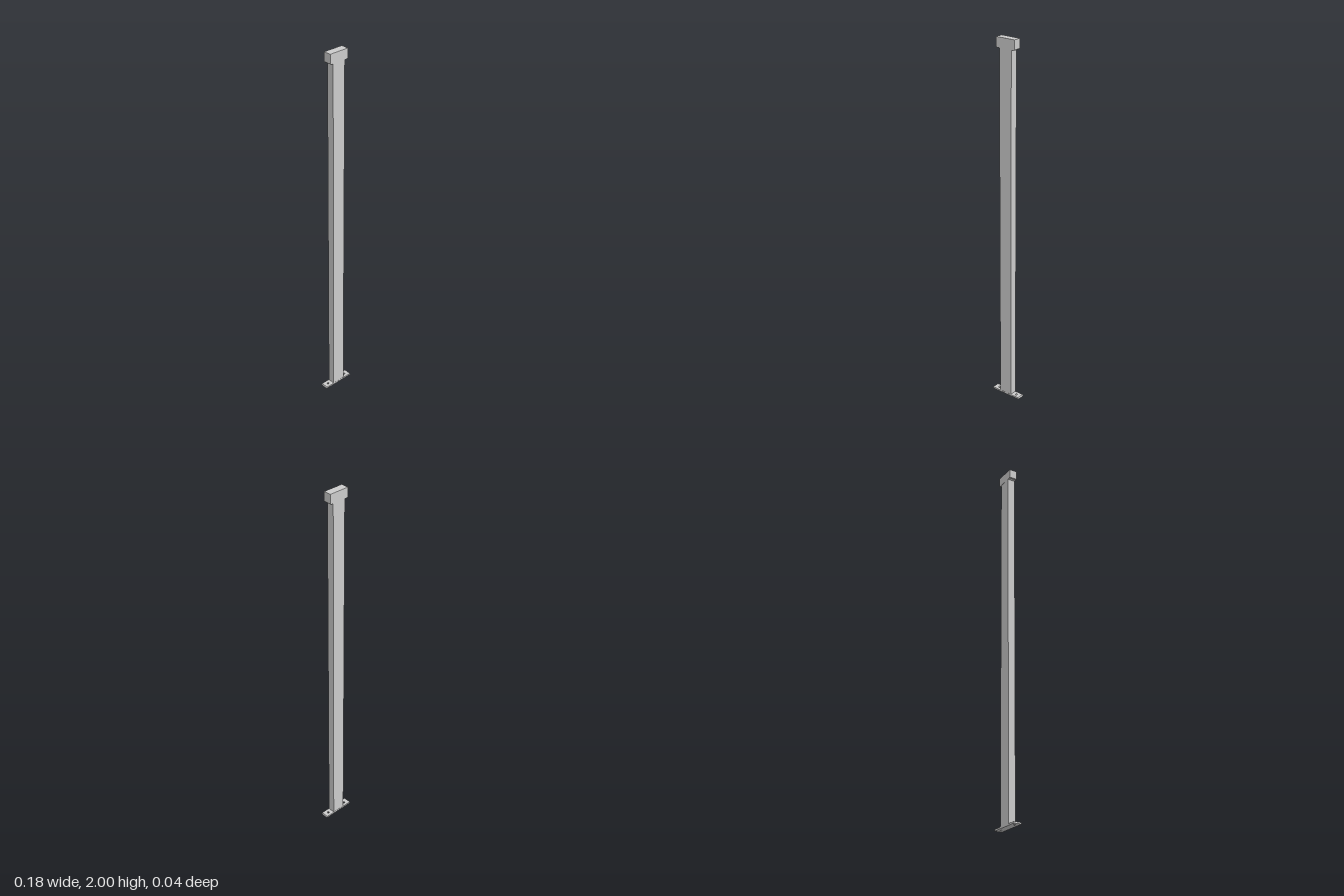
import * as THREE from 'three';

const material = new THREE.MeshStandardMaterial({ color: 0xcccccc, flatShading: true });
const DEPTH = 0.042;

function addMesh(group, name, geometry) {
  const mesh = new THREE.Mesh(geometry, material);
  mesh.name = name;
  group.add(mesh);
  return mesh;
}

function polygon(points) {
  return new THREE.Shape(points.map(([x, y]) => new THREE.Vector2(x, y)));
}

export function createModel() {
  const group = new THREE.Group();
  group.name = 'post';

  // Base plate with a bolt hole on each side and bevelled ends
  const half = 0.0915, bevel = 0.0035, thickness = 0.009;
  const z = DEPTH / 2;
  const plateShape = polygon([[-half, -z], [half, -z], [half, z], [-half, z]]);
  for (const side of [-1, 1]) {
    const hole = new THREE.Path();
    hole.absarc(side * 0.061, 0, 0.006, 0, Math.PI * 2, true);
    plateShape.holes.push(hole);
  }
  const plate = new THREE.ExtrudeGeometry(plateShape, { depth: thickness, bevelEnabled: false, curveSegments: 16 });
  plate.rotateX(-Math.PI / 2);
  const pos = plate.attributes.position;
  for (let i = 0; i < pos.count; i++) {
    const x = pos.getX(i);
    if (pos.getY(i) > thickness / 2 && Math.abs(x) > half - 0.001) pos.setX(i, Math.sign(x) * (half - bevel));
  }
  plate.computeVertexNormals();
  addMesh(group, 'basePlate', plate);

  // Rectangular upright
  const bottom = thickness, top = 1.947;
  const upright = addMesh(group, 'upright', new THREE.BoxGeometry(0.074, top - bottom, DEPTH - 0.002));
  upright.position.y = (top + bottom) / 2;

  // Wider head block with small chamfers on its lower corners
  const w = 0.056, c = 0.004;
  const headShape = polygon([[-w + c, top], [w - c, top], [w, top + c], [w, 2], [-w, 2], [-w, top + c]]);
  const head = new THREE.ExtrudeGeometry(headShape, { depth: DEPTH, bevelEnabled: false });
  head.translate(0, 0, -z);
  addMesh(group, 'headBlock', head);

  return group;
}
